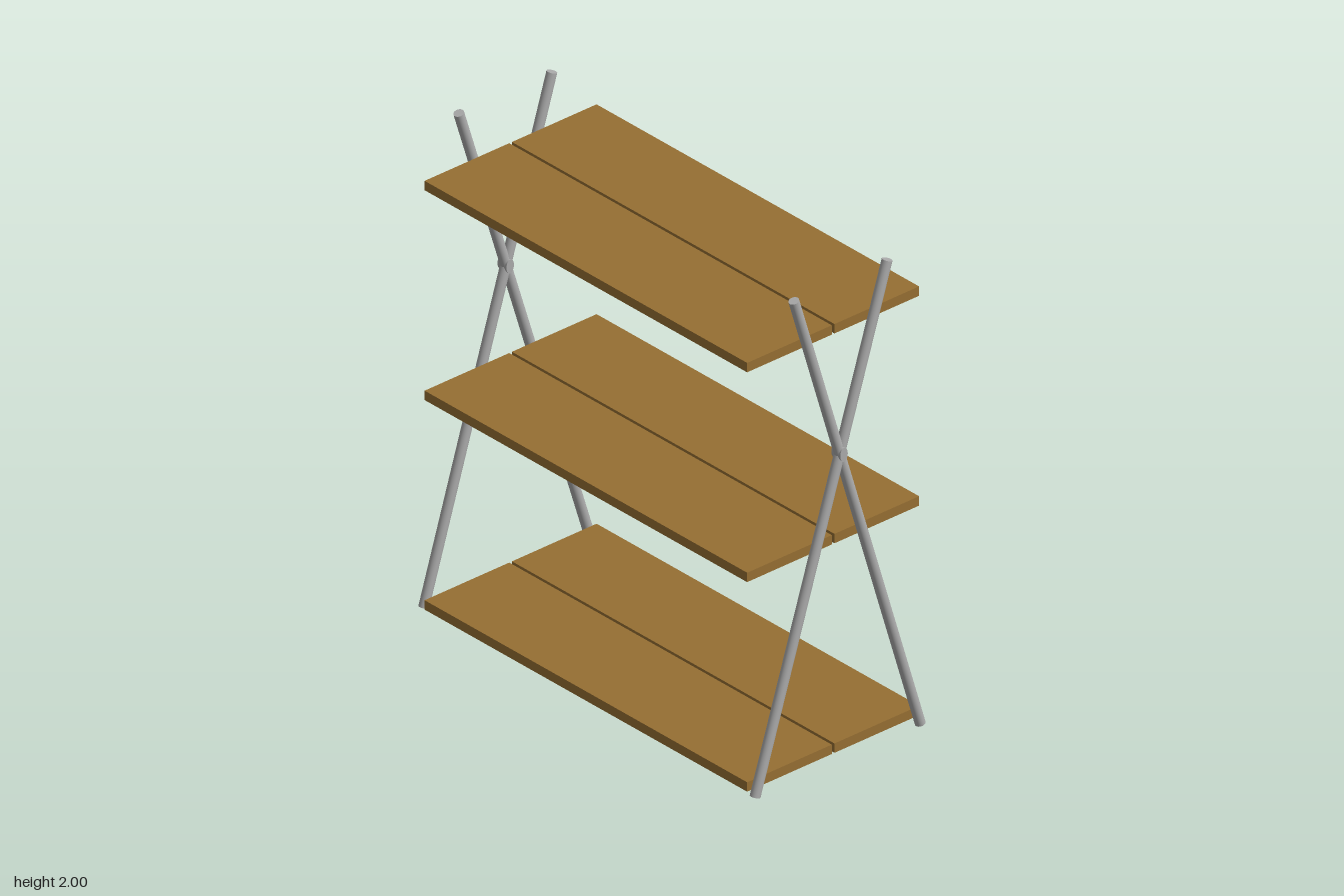
import * as THREE from 'three';

export function createModel() {
  const model = new THREE.Group();
  model.name = 'shelfUnit';
  const wood = new THREE.MeshStandardMaterial({ color: 0x966f33 });
  wood.name = 'wood';
  const steel = new THREE.MeshStandardMaterial({ color: 0xababab });
  steel.name = 'steel';

  const add = (geometry, material, name, x, y, z) => {
    const mesh = new THREE.Mesh(geometry, material);
    mesh.name = name;
    mesh.position.set(x, y, z);
    model.add(mesh);
    return mesh;
  };

  // Three shelves, each of two planks with a narrow gap
  const plank = new THREE.BoxGeometry(1.747, 0.039, 0.407);
  for (const y of [0.034, 0.905, 1.777]) {
    add(plank, wood, 'frontPlank', -0.003, y, 0.205);
    add(plank, wood, 'backPlank', -0.003, y, -0.215);
  }

  // Round pole between two points in a plane of constant x
  const addPole = (name, x, zBottom, zTop) => {
    const a = new THREE.Vector3(x, 0.006, zBottom);
    const b = new THREE.Vector3(x, 1.994, zTop);
    const dir = b.clone().sub(a);
    const mid = a.clone().add(b).multiplyScalar(0.5);
    const pole = add(new THREE.CylinderGeometry(0.02, 0.02, dir.length(), 32), steel, name, mid.x, mid.y, mid.z);
    pole.quaternion.setFromUnitVectors(new THREE.Vector3(0, 1, 0), dir.normalize());
  };

  // Crossed poles and the joint pin at each end
  const pin = new THREE.CylinderGeometry(0.018, 0.018, 0.049, 24).rotateZ(Math.PI / 2).scale(1, 1.6, 1);
  const ends = [
    { side: 'left', x: 0.904, front: [0.4, -0.235], back: [-0.394, 0.214] },
    { side: 'right', x: -0.904, front: [0.388, -0.228], back: [-0.407, 0.22] },
  ];
  for (const { side, x, front, back } of ends) {
    addPole(side + 'FrontPole', x, ...front);
    addPole(side + 'BackPole', x, ...back);
    add(pin, steel, side + 'JointPin', x, 1.28, -0.006);
  }
  return model;
}
